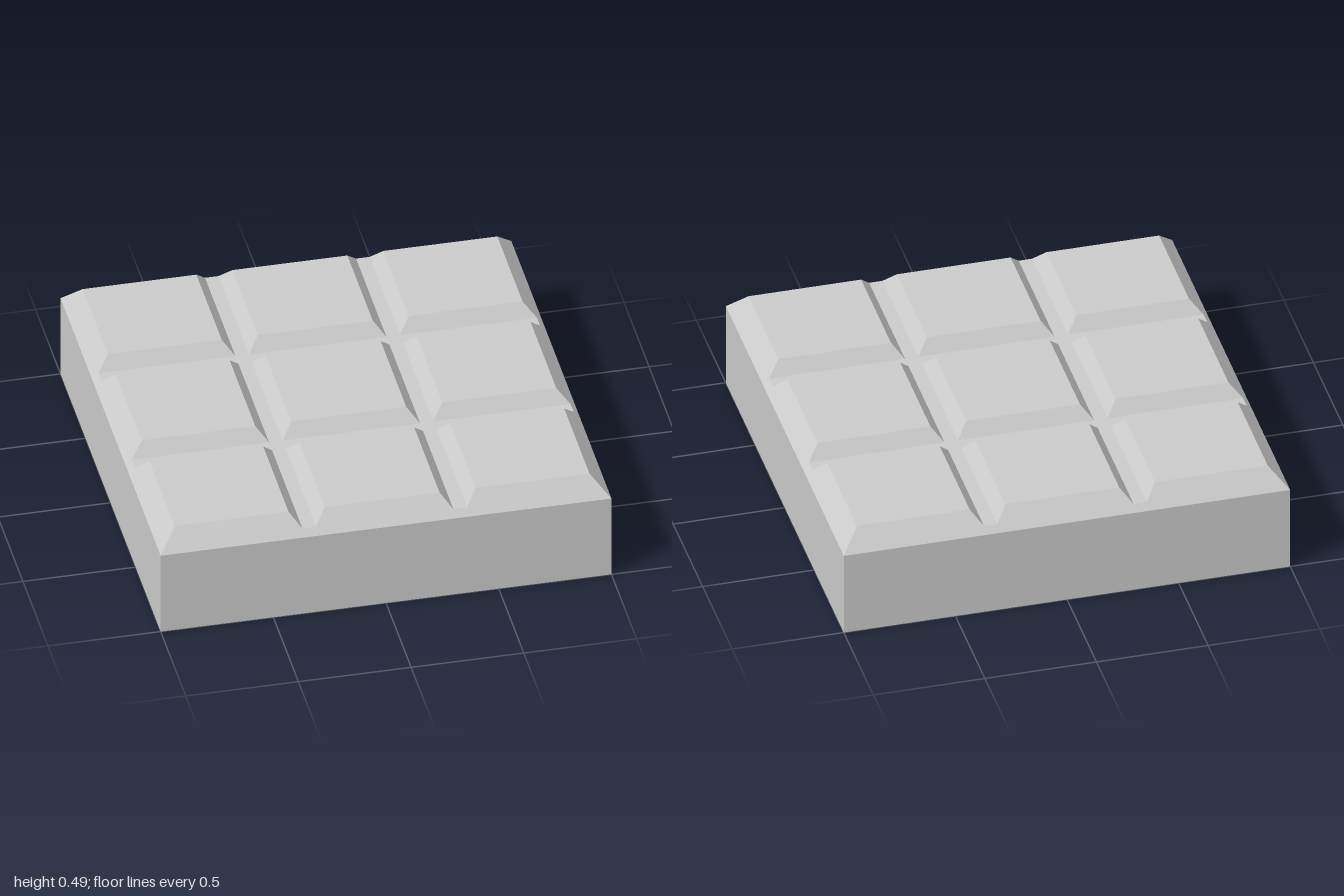
import * as THREE from 'three';

const material = new THREE.MeshStandardMaterial({ color: 0xcccccc, flatShading: true });

// Closed solid lofted through rectangles [x0, x1, z0, z1, y], listed bottom to top
function loftRects(name, rects) {
  const points = [];
  const index = [];
  for (const [x0, x1, z0, z1, y] of rects) {
    points.push(x0, y, z1, x1, y, z1, x1, y, z0, x0, y, z0);
  }
  for (let r = 0; r < rects.length - 1; r++) {
    for (let i = 0; i < 4; i++) {
      const a = r * 4 + i;
      const b = r * 4 + (i + 1) % 4;
      index.push(a, b, b + 4, a, b + 4, a + 4);
    }
  }
  const t = (rects.length - 1) * 4;
  index.push(0, 2, 1, 0, 3, 2, t, t + 1, t + 2, t, t + 2, t + 3);

  const indexed = new THREE.BufferGeometry();
  indexed.setAttribute('position', new THREE.Float32BufferAttribute(points, 3));
  indexed.setIndex(index);
  const geometry = indexed.toNonIndexed();
  geometry.computeVertexNormals();
  const mesh = new THREE.Mesh(geometry, material);
  mesh.name = name;
  return mesh;
}

export function createModel() {
  const group = new THREE.Group();
  group.name = 'segmentedBlock';

  const shoulderY = 0.4, grooveY = 0.43, topY = 0.49;
  const rim = 0.973; // outer bevel at groove height

  // Slab with the lower part of the outer bevel; its top is the groove floor
  group.add(loftRects('slab', [
    [-1, 1, -1, 1, 0],
    [-1, 1, -1, 1, shoulderY],
    [-rim, rim, -rim, rim, grooveY],
  ]));

  // Extents of each row and column of tiles, at the foot and at the top
  const spans = [
    { foot: [-rim, -0.365], top: [-0.92, -0.415] },
    { foot: [-0.305, 0.305], top: [-0.255, 0.255] },
    { foot: [0.365, rim], top: [0.415, 0.92] },
  ];

  // Nine bevelled tiles
  const tiles = new THREE.Group();
  tiles.name = 'tiles';
  spans.forEach((sx, column) => spans.forEach((sz, row) => {
    tiles.add(loftRects(`tile_${row + 1}_${column + 1}`, [
      [...sx.foot, ...sz.foot, grooveY],
      [...sx.top, ...sz.top, topY],
    ]));
  }));
  group.add(tiles);

  return group;
}
